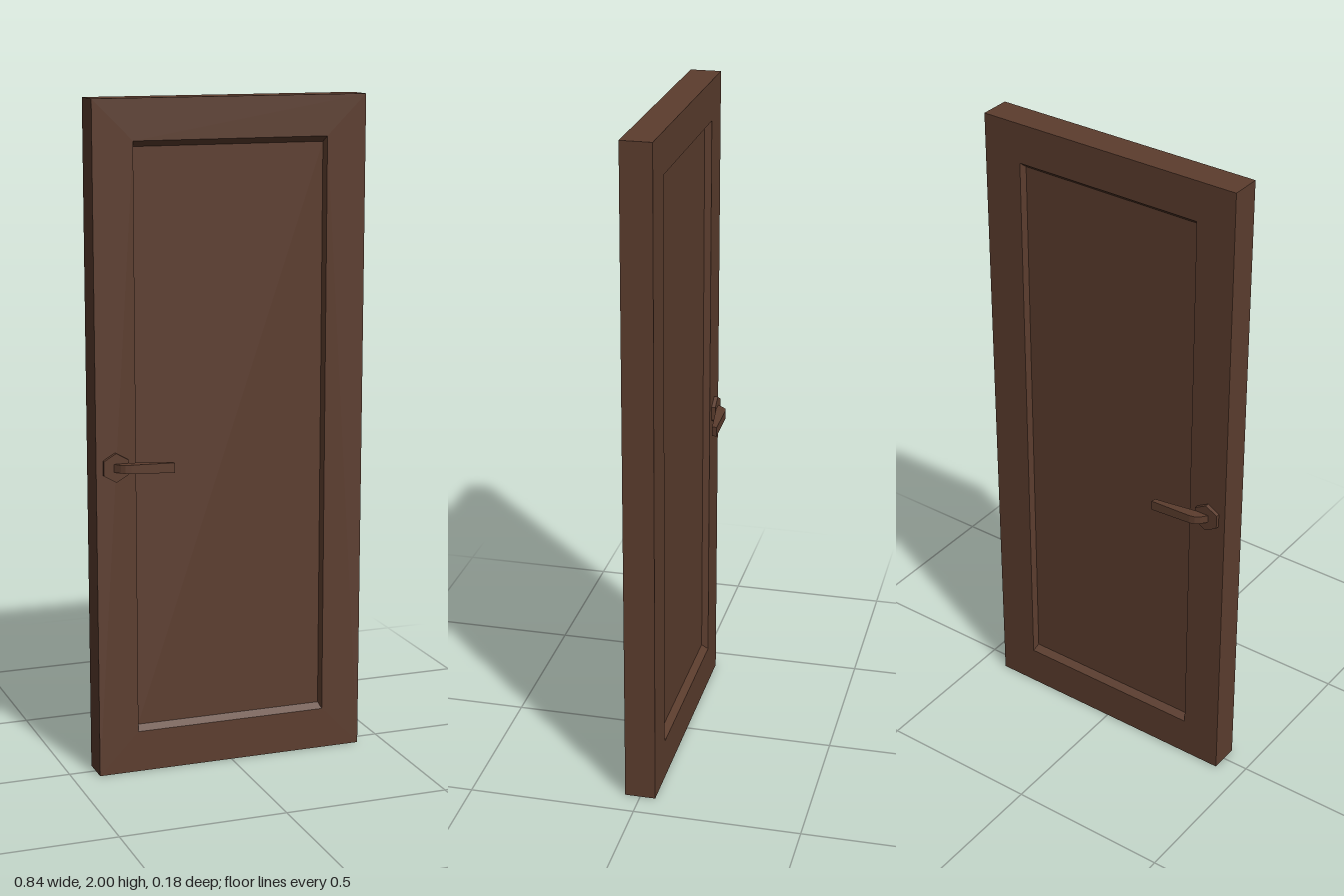
import * as THREE from 'three';

const HALF_W = 0.418, HEIGHT = 2, HALF_D = 0.046, RECESS = 0.02;
const OUTER = { x: 0.297, y0: 0.125, y1: 1.88 };
const INNER = { x: 0.291, y0: 0.141, y1: 1.863 };
const HANDLE_X = -0.36, HANDLE_Y = 0.942;

const corners = (r) => [[-r.x, r.y0], [r.x, r.y0], [r.x, r.y1], [-r.x, r.y1]];

// Skin a list of four-cornered loops; side = -1 mirrors in z and flips the winding.
function loft(loops, side, capped) {
  const pos = [];
  const quad = (a, b, c, d) => {
    const order = side > 0 ? [a, b, c, a, c, d] : [a, c, b, a, d, c];
    order.forEach(([x, y, z]) => pos.push(x, y, z * side));
  };
  for (let i = 0; i < loops.length - 1; i++) {
    for (let k = 0; k < 4; k++) {
      const n = (k + 1) % 4;
      quad(loops[i][k], loops[i][n], loops[i + 1][n], loops[i + 1][k]);
    }
  }
  if (capped) {
    const s = loops[0], e = loops[loops.length - 1];
    quad(s[3], s[2], s[1], s[0]);
    quad(e[0], e[1], e[2], e[3]);
  }
  const g = new THREE.BufferGeometry();
  g.setAttribute('position', new THREE.Float32BufferAttribute(pos, 3));
  g.computeVertexNormals();
  return g;
}

// Lever stations: outer edge x, z, inner edge x, z, centre height offset, half height
const LEVER = [
  [-0.376, 0.046, -0.337, 0.046, 0, 0.012],
  [-0.368, 0.058, -0.333, 0.057, 0, 0.012],
  [-0.353, 0.077, -0.327, 0.059, 0, 0.012],
  [-0.341, 0.086, -0.321, 0.060, 0, 0.013],
  [-0.325, 0.090, -0.314, 0.061, 0, 0.013],
  [-0.193, 0.091, -0.196, 0.076, -0.005, 0.015],
];

export function createModel() {
  const door = new THREE.Group();
  door.name = 'door';
  const brown = new THREE.MeshStandardMaterial({ color: 0x5c3d2e });
  brown.name = 'dark brown wood';
  const add = (geometry, name, parent = door) => {
    const mesh = new THREE.Mesh(geometry, brown);
    mesh.name = name;
    parent.add(mesh);
    return mesh;
  };

  // Frame with the panel opening cut through
  const outline = new THREE.Shape(
    corners({ x: HALF_W, y0: 0, y1: HEIGHT }).map(([x, y]) => new THREE.Vector2(x, y)));
  outline.holes.push(new THREE.Path(
    corners(OUTER).reverse().map(([x, y]) => new THREE.Vector2(x, y))));
  const frame = new THREE.ExtrudeGeometry(outline, { depth: HALF_D * 2, bevelEnabled: false });
  add(frame.translate(0, 0, -HALF_D), 'frame');

  // Recessed centre panel
  const panel = new THREE.BoxGeometry(
    OUTER.x * 2, OUTER.y1 - OUTER.y0, (HALF_D - RECESS) * 2);
  add(panel.translate(0, (OUTER.y0 + OUTER.y1) / 2, 0), 'panel');

  for (const side of [1, -1]) {
    const face = side > 0 ? 'front' : 'back';

    // Sloped moulding down to the panel
    const ring = (r, z) => corners(r).map(([x, y]) => [x, y, z]);
    add(loft([ring(OUTER, HALF_D), ring(INNER, HALF_D - RECESS)], side, false),
      face + 'Moulding');

    const handle = new THREE.Group();
    handle.name = face + 'Handle';
    door.add(handle);

    // Hexagonal rosette
    const rosette = new THREE.CylinderGeometry(0.0433, 0.0433, 0.018, 6).toNonIndexed();
    rosette.computeVertexNormals();
    rosette.rotateX(Math.PI / 2).translate(HANDLE_X, HANDLE_Y, side * 0.049);
    add(rosette, 'rosette', handle);

    // Bent, tapering lever
    const loops = LEVER.map(([ox, oz, ix, iz, dy, h]) => {
      const y = HANDLE_Y + dy;
      return [[ox, y - h, oz], [ix, y - h, iz], [ix, y + h, iz], [ox, y + h, oz]];
    });
    add(loft(loops, side, true), 'lever', handle);
  }
  return door;
}
